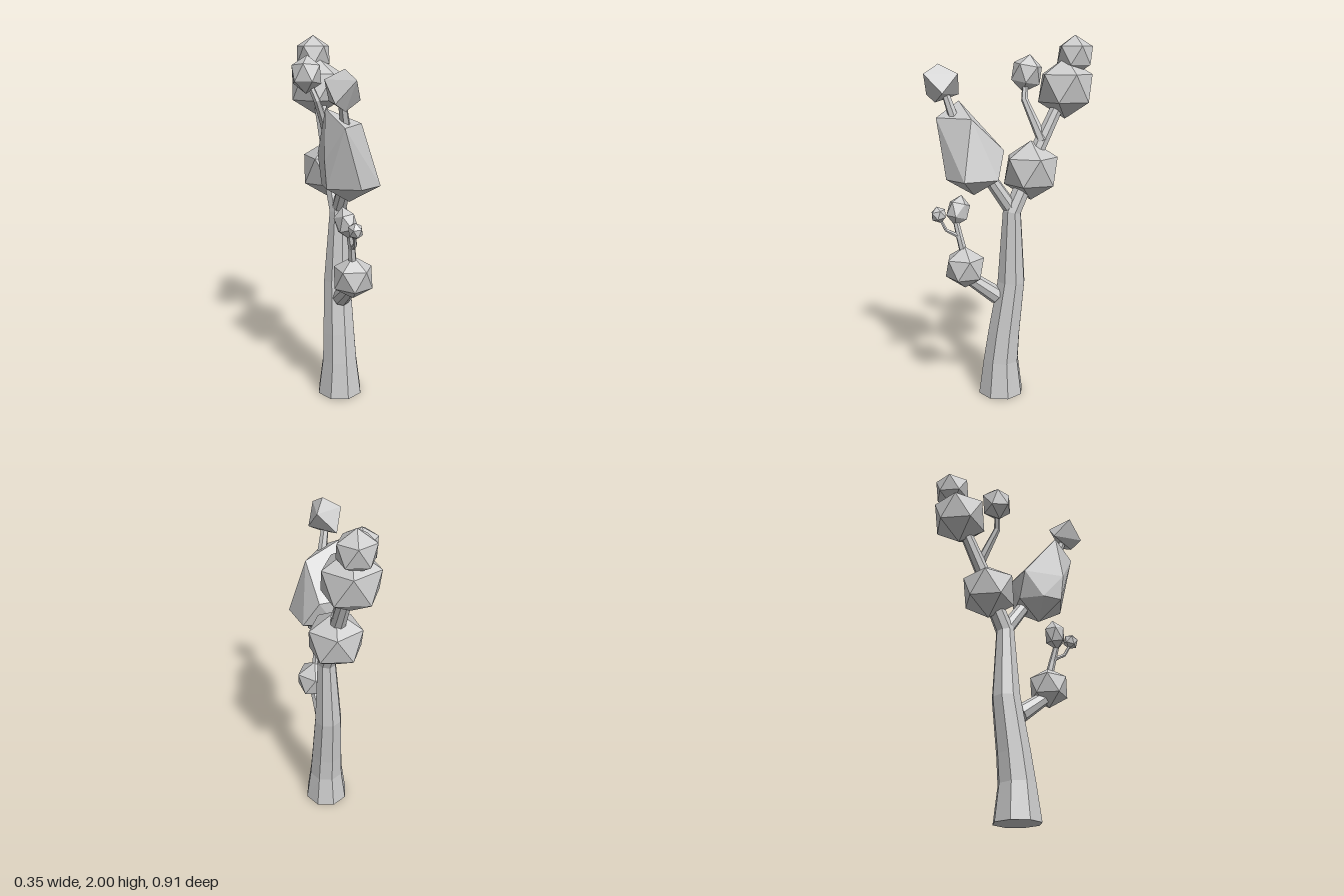
import * as THREE from 'three';
import { ConvexGeometry } from 'three/addons/geometries/ConvexGeometry.js';

const material = new THREE.MeshStandardMaterial({ color: 0xcccccc, flatShading: true });
const V = (x, y, z) => new THREE.Vector3(x, y, z);

// Tapered faceted limb through [x, y, z, radius] stations
function limbGeometry(stations, sides) {
  const pts = stations.map(([x, y, z]) => V(x, y, z));
  const pos = [], index = [];
  pts.forEach((p, i) => {
    const t = pts[Math.min(i + 1, pts.length - 1)].clone().sub(pts[Math.max(i - 1, 0)]).normalize();
    const u = V(1, 0, 0).addScaledVector(t, -t.x).normalize();
    const v = t.clone().cross(u);
    for (let k = 0; k < sides; k++) {
      const a = (k / sides) * Math.PI * 2;
      const q = p.clone().addScaledVector(u, Math.cos(a) * stations[i][3]).addScaledVector(v, Math.sin(a) * stations[i][3]);
      pos.push(q.x, q.y, q.z);
    }
  });
  const last = (pts.length - 1) * sides;
  for (let i = 0; i < last; i += sides) {
    for (let k = 0; k < sides; k++) {
      const a = i + k, b = i + (k + 1) % sides;
      index.push(a, b, b + sides, a, b + sides, a + sides);
    }
  }
  // End caps
  for (let k = 1; k < sides - 1; k++) index.push(0, k + 1, k, last, last + k, last + k + 1);
  const g = new THREE.BufferGeometry();
  g.setAttribute('position', new THREE.Float32BufferAttribute(pos, 3));
  g.setIndex(index);
  const flat = g.toNonIndexed();
  flat.computeVertexNormals();
  return flat;
}

// Icosahedron standing on one corner: two poles and two staggered rings
function icoPoints([x, y, z], [rx, ry, rz], [tiltX, yaw, tiltZ] = [0, 0, 0]) {
  const pts = [V(0, 1, 0), V(0, -1, 0)];
  for (let k = 0; k < 10; k++) {
    const a = (k * Math.PI) / 5;
    pts.push(V(0.894 * Math.cos(a), k % 2 ? -0.447 : 0.447, 0.894 * Math.sin(a)));
  }
  const turn = new THREE.Euler(tiltX, yaw, tiltZ);
  return pts.map(p => p.multiply(V(rx, ry, rz)).applyEuler(turn).add(V(x, y, z)));
}

export function createModel() {
  const group = new THREE.Group();
  const add = (name, geometry) => {
    const mesh = new THREE.Mesh(geometry, material);
    mesh.name = name;
    group.add(mesh);
  };
  const limb = (name, sides, ...stations) => add(name, limbGeometry(stations, sides));
  const ball = (name, center, r, turn) =>
    add(name, new ConvexGeometry(icoPoints(center, Array.isArray(r) ? r : [r, r, r], turn)));
  const hull = (name, points) => add(name, new ConvexGeometry(points.map(p => V(...p))));

  // Trunk and branches
  limb('trunk', 8, [0.02, 0, 0.065, 0.13], [0.02, 0.2, 0.063, 0.103], [0.022, 0.36, 0.045, 0.094],
    [0.028, 0.66, 0.004, 0.08], [0.036, 1.06, 0.002, 0.053], [0.03, 1.27, -0.1, 0.047]);
  limb('upperBackBranch', 8, [0.03, 1.27, -0.1, 0.045], [0.03, 1.41, -0.155, 0.042], [0.03, 1.68, -0.29, 0.034]);
  limb('sideBackBranch', 6, [0.05, 1.44, -0.17, 0.03], [-0.05, 1.66, -0.1, 0.019], [-0.09, 1.76, -0.12, 0.016]);
  limb('upperFrontBranch', 8, [0.035, 1.08, 0.01, 0.042], [0.025, 1.3, 0.16, 0.035]);
  limb('upperFrontStem', 6, [-0.045, 1.54, 0.29, 0.028], [-0.09, 1.72, 0.34, 0.02]);
  limb('lowerFrontBranch', 8, [0.02, 0.58, 0.085, 0.05], [0.012, 0.72, 0.27, 0.036]);
  limb('lowerFrontStem', 6, [0.005, 0.84, 0.27, 0.022], [-0.005, 0.92, 0.287, 0.02], [-0.035, 1.04, 0.307, 0.015]);
  limb('lowerFrontTwig', 6, [-0.005, 0.93, 0.287, 0.013], [-0.02, 0.97, 0.36, 0.01], [-0.04, 1.04, 0.393, 0.008]);

  // Round foliage
  ball('middleFoliage', [0.027, 1.28, -0.11], 0.164);
  ball('backFoliage', [0.029, 1.72, -0.306], 0.164);
  ball('topFoliage', [0.027, 1.892, -0.36], 0.108);
  ball('sideBackFoliage', [-0.098, 1.797, -0.13], [0.09, 0.103, 0.094], [-0.12, 0.35, -0.1]);
  ball('lowerFrontFoliage', [0.011, 0.761, 0.267], 0.118);
  ball('smallFrontFoliage', [-0.04, 1.07, 0.285], [0.058, 0.086, 0.07], [-0.3, 0.3, 0.15]);
  ball('tinyFrontFoliage', [-0.035, 1.055, 0.396], [0.04, 0.046, 0.046], [0.2, 0.2, 0.1]);

  // Stretched foliage mass on the upper front branch
  hull('largeFrontFoliage', [
    [-0.137, 1.655, 0.247], [0.065, 1.57, 0.235], [-0.09, 1.57, 0.386],
    [0.055, 1.4, 0.053], [-0.105, 1.4, 0.053], [-0.155, 1.4, 0.28],
    [-0.14, 1.252, 0.27], [0.012, 1.252, 0.362], [0.147, 1.252, 0.3],
    [0.13, 1.252, 0.11], [-0.04, 1.252, 0.055], [0.01, 1.16, 0.21], [-0.125, 1.255, 0.16]
  ]);
  // Leaning faceted tip above it
  hull('upperFrontFoliage', [
    [-0.085, 1.85, 0.37], [-0.09, 1.65, 0.39],
    [-0.12, 1.69, 0.25], [-0.02, 1.8, 0.28], [-0.003, 1.7, 0.37],
    [-0.06, 1.8, 0.455], [-0.155, 1.69, 0.42], [-0.175, 1.8, 0.33]
  ]);
  return group;
}
